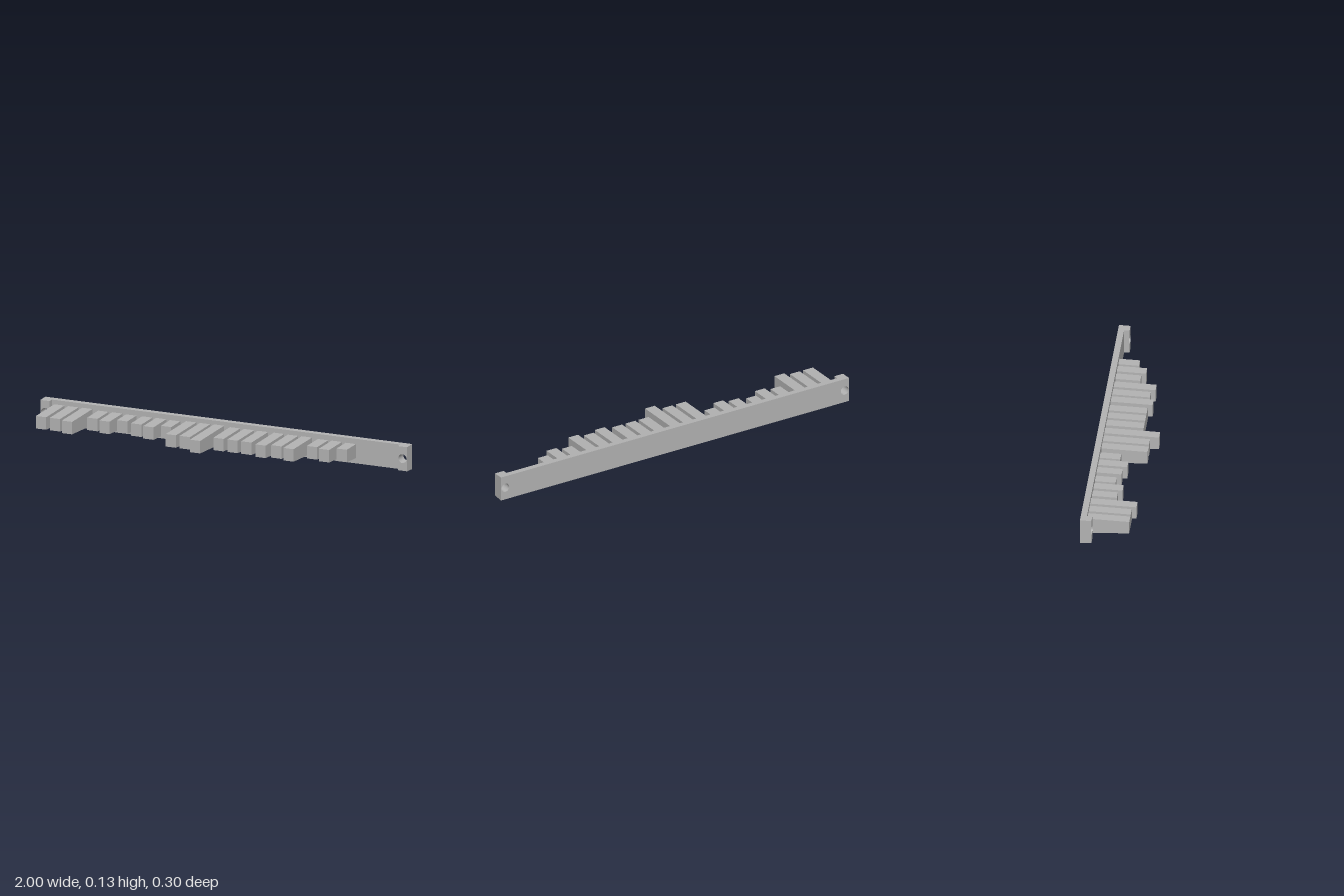
import * as THREE from 'three';

const MID_Y = 0.0638;   // shared horizontal centre line
const BACK = -0.15;     // rear face of the rail
const WEB = -0.12;      // front face of the thin rail

const grey = new THREE.MeshStandardMaterial({ color: 0xb3b3b3 });
grey.name = 'plain grey';

// Box between two z values whose height changes from back to front
function taperedBox(name, x, width, z0, z1, backHeight, frontHeight) {
  const geo = new THREE.BoxGeometry(width, 1, z1 - z0);
  const pos = geo.attributes.position;
  for (let i = 0; i < pos.count; i++) {
    const h = pos.getZ(i) > 0 ? frontHeight : backHeight;
    pos.setY(i, pos.getY(i) * h);
  }
  geo.computeVertexNormals();
  const mesh = new THREE.Mesh(geo, grey);
  mesh.name = name;
  mesh.position.set(x, MID_Y, (z0 + z1) / 2);
  return mesh;
}

// Thick end block with a round screw hole through it
function endBlock(name, x) {
  const w = 0.025, h = 0.0638, depth = 0.057;
  const shape = new THREE.Shape();
  shape.moveTo(-w, -h);
  shape.lineTo(w, -h);
  shape.lineTo(w, h);
  shape.lineTo(-w, h);
  shape.closePath();
  const hole = new THREE.Path();
  hole.absarc(0, 0, 0.0225, 0, Math.PI * 2, true);
  shape.holes.push(hole);
  const geo = new THREE.ExtrudeGeometry(shape, { depth, bevelEnabled: false, curveSegments: 16 });
  // Draft: the outer top and bottom edges close in towards the front
  const pos = geo.attributes.position;
  for (let i = 0; i < pos.count; i++) {
    const y = pos.getY(i);
    if (Math.abs(y) > 0.05) pos.setY(i, y - Math.sign(y) * 0.045 * pos.getZ(i));
  }
  geo.computeVertexNormals();
  const mesh = new THREE.Mesh(geo, grey);
  mesh.name = name;
  mesh.position.set(x, MID_Y, BACK);
  return mesh;
}

export function createModel() {
  const model = new THREE.Group();
  model.name = 'codedBar';

  // Rail and its two end blocks
  model.add(taperedBox('rail', 0, 1.9, BACK, WEB, 0.1276, 0.1249));
  model.add(endBlock('leftEndBlock', 0.975));
  model.add(endBlock('rightEndBlock', -0.975));

  // Teeth in groups of three; each number is a length step
  const steps = [
    [5, 5, 6], [1, 2, 0], [1, 2, 0], [6, 6, 8], [4, 4, 4], [5, 4, 5], [1, 2, 0],
  ];
  const teeth = new THREE.Group();
  teeth.name = 'teeth';
  steps.forEach((group, g) => group.forEach((step, i) => {
    const x = -0.909 + g * 0.2395 + i * 0.076;
    const tip = -0.018 + step * 0.021;
    const tipHeight = 0.0635;
    const baseHeight = tipHeight + (tip - WEB) * 0.08;
    teeth.add(taperedBox('tooth', x, 0.056, WEB, tip, baseHeight, tipHeight));
  }));
  model.add(teeth);
  return model;
}
